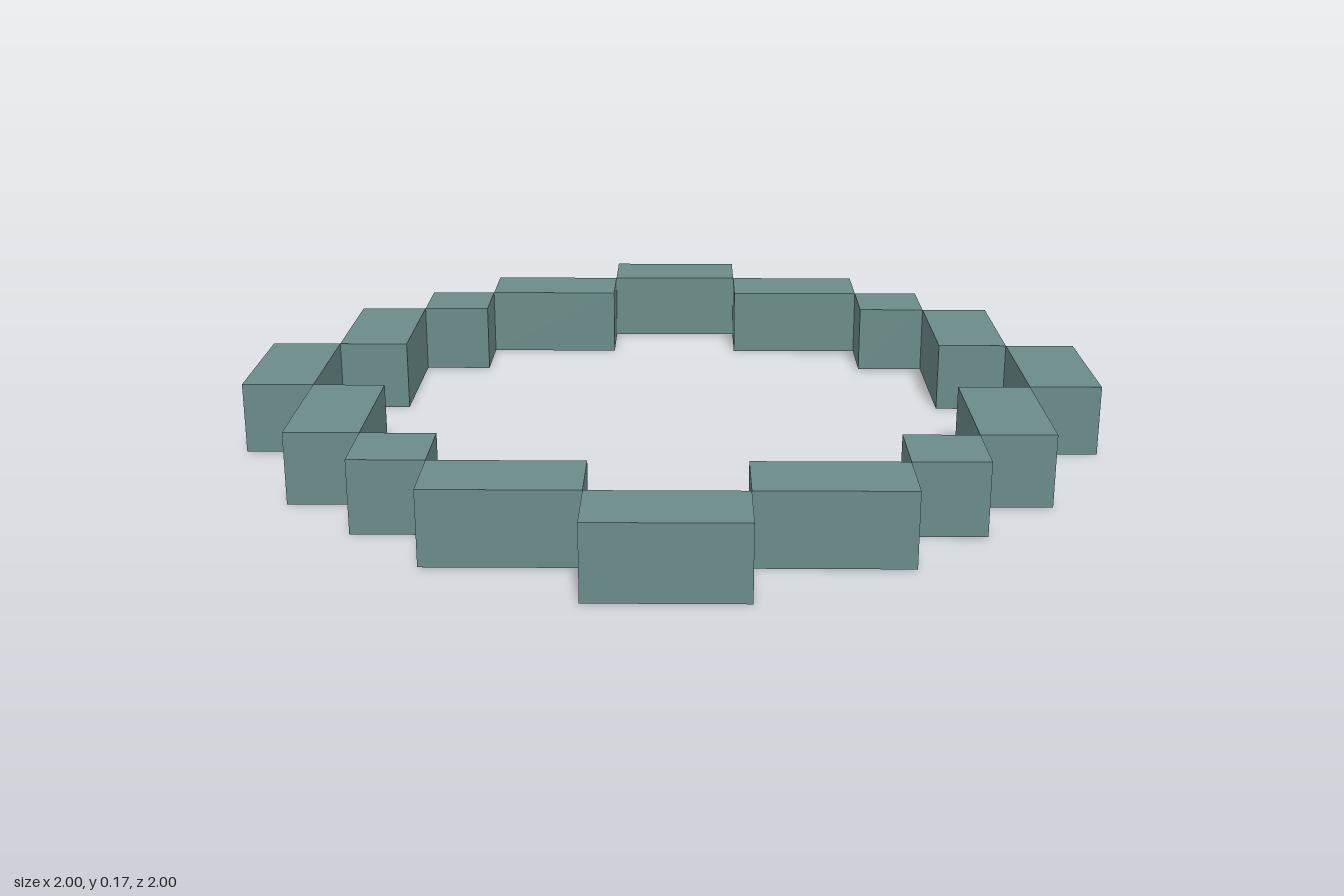
import * as THREE from 'three';

const U = 1 / 6; // one grid cell of the stepped ring

export function createModel() {
  const model = new THREE.Group();
  model.name = 'steppedRing';
  const material = new THREE.MeshStandardMaterial({ color: 0x6a8c89, flatShading: true });

  // Blocks of one quarter, in cells: name, centre x, centre z, width, depth
  const blocks = [
    ['middleBlock', 0, 5.5, 2, 1],
    ['sideBlock', 2, 4.5, 2, 1],
    ['cornerCube', 3.5, 3.5, 1, 1],
    ['turnedSideBlock', 4.5, 2, 1, 2],
  ];

  // Four quarter turns close the ring
  for (let i = 0; i < 4; i++) {
    const quarter = new THREE.Group();
    quarter.name = `ringQuarter${i + 1}`;
    quarter.rotation.y = (i * Math.PI) / 2;
    for (const [name, x, z, w, d] of blocks) {
      const block = new THREE.Mesh(new THREE.BoxGeometry(w * U, U, d * U), material);
      block.name = name;
      block.position.set(x * U, U / 2, z * U);
      quarter.add(block);
    }
    model.add(quarter);
  }
  return model;
}
